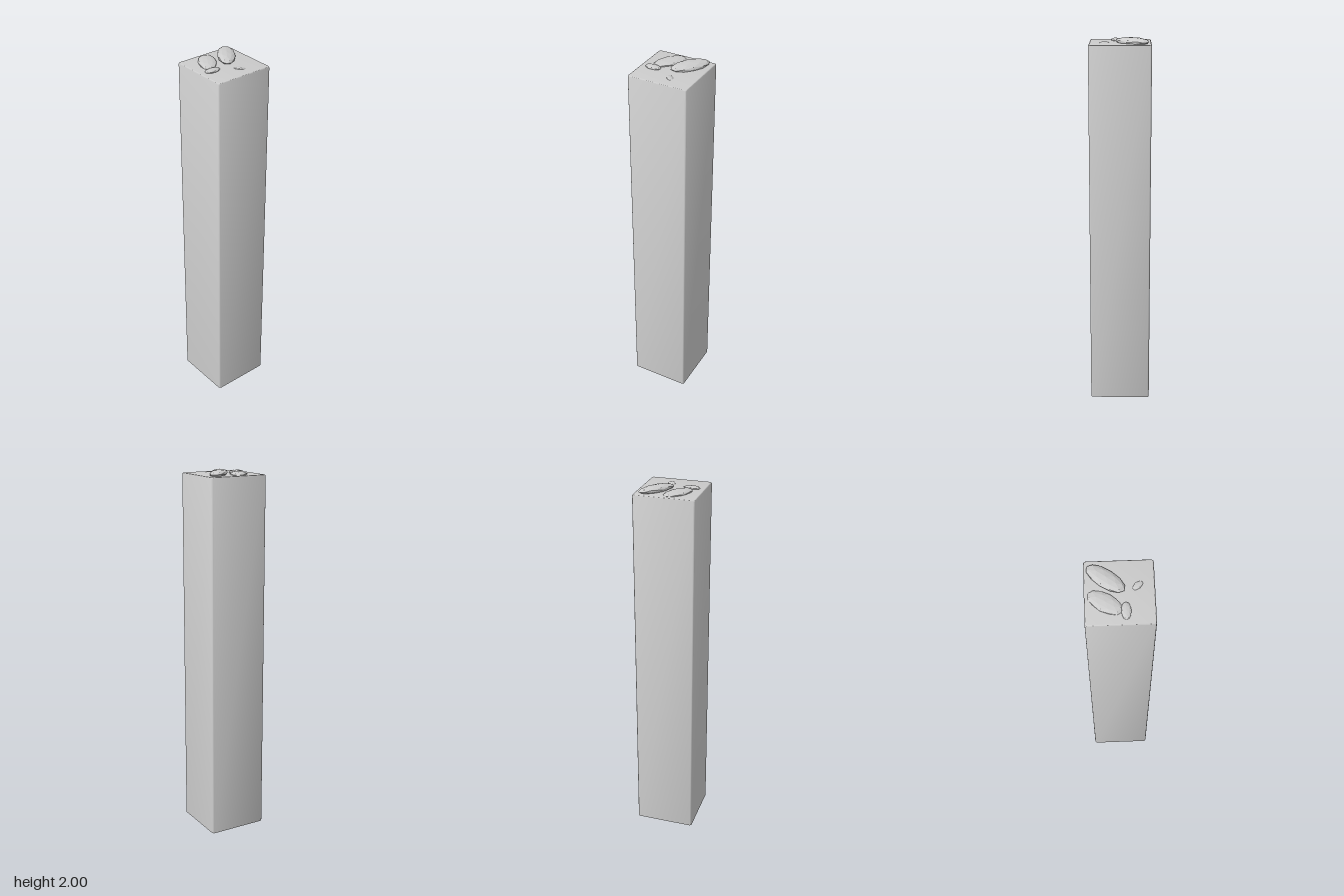
import * as THREE from 'three';
import { toCreasedNormals } from 'three/addons/utils/BufferGeometryUtils.js';

const HALF = 0.163, CORNER = 0.013, TOP = 1.97, BEVEL = 0.008;

// Rounded square cross-section, counter-clockwise seen from above
function section(half, radius, y, steps = 4) {
  const points = [];
  for (let c = 0; c < 4; c++) {
    const mid = Math.PI / 4 + c * Math.PI / 2;
    const cx = Math.sign(Math.cos(mid)) * (half - radius);
    const cz = Math.sign(Math.sin(mid)) * (half - radius);
    for (let i = 0; i <= steps; i++) {
      const a = (c + i / steps) * Math.PI / 2;
      points.push(new THREE.Vector3(cx + radius * Math.cos(a), y, -cz - radius * Math.sin(a)));
    }
  }
  return points;
}

// Open-bottomed shaft with a rounded top edge and a flat cap
function shaftGeometry() {
  const rings = [section(HALF, CORNER, 0)];
  for (let i = 0; i <= 4; i++) {
    const a = i / 4 * Math.PI / 2;
    const inset = BEVEL * (1 - Math.cos(a));
    rings.push(section(HALF - inset, CORNER - inset, TOP - BEVEL + BEVEL * Math.sin(a)));
  }
  const n = rings[0].length;
  const positions = rings.flat().flatMap(p => p.toArray());
  const index = [];
  for (let r = 0; r < rings.length - 1; r++) {
    for (let i = 0; i < n; i++) {
      const a = r * n + i, b = r * n + (i + 1) % n;
      index.push(a, b, b + n, a, b + n, a + n);
    }
  }
  const centre = positions.length / 3, last = (rings.length - 1) * n;
  positions.push(0, TOP, 0);
  for (let i = 0; i < n; i++) index.push(last + i, last + (i + 1) % n, centre);
  const geometry = new THREE.BufferGeometry();
  geometry.setAttribute('position', new THREE.Float32BufferAttribute(positions, 3));
  geometry.setIndex(index);
  return toCreasedNormals(geometry, Math.PI / 5);
}

export function createModel() {
  const group = new THREE.Group();

  const shaft = new THREE.Mesh(shaftGeometry(),
    new THREE.MeshStandardMaterial({ color: 0xcccccc, side: THREE.DoubleSide }));
  shaft.name = 'shaft';
  group.add(shaft);

  // Faceted flat stones lying partly sunk in the top
  const stoneMaterial = new THREE.MeshStandardMaterial({ color: 0xcccccc, flatShading: true });
  const stones = [
    { name: 'leftLargeStone', at: [-0.05, 1.972, -0.068], size: [0.091, 0.014, 0.047], turn: 1.01, roll: 0 },
    { name: 'rightLargeStone', at: [0.066, 1.98, -0.062], size: [0.106, 0.02, 0.047], turn: 0.93, roll: 0.08 },
    { name: 'smallStone', at: [-0.093, 1.973, 0.027], size: [0.044, 0.01, 0.024], turn: 0, roll: 0 },
    { name: 'chip', at: [0.032, 1.968, 0.083], size: [0.031, 0.007, 0.018], turn: -0.85, roll: -0.12 },
  ];
  for (const { name, at, size, turn, roll } of stones) {
    const stone = new THREE.Mesh(new THREE.IcosahedronGeometry(1, 1), stoneMaterial);
    stone.name = name;
    stone.position.set(...at);
    stone.scale.set(...size);
    stone.rotation.set(roll, turn, 0, 'YXZ');
    group.add(stone);
  }
  return group;
}
